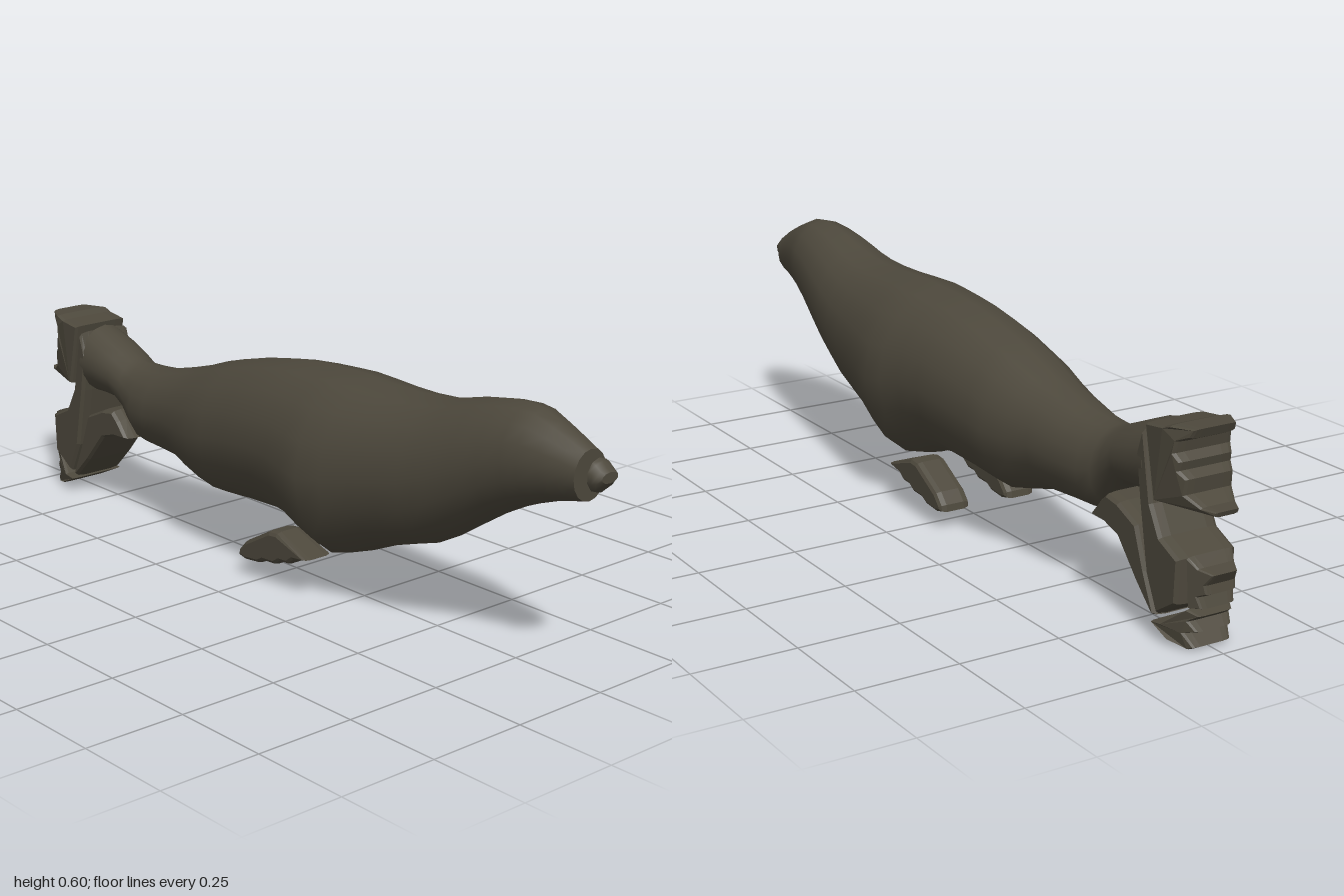
import * as THREE from 'three';

const skin = new THREE.MeshStandardMaterial({ color: 0x4d483c });
skin.name = 'dark olive skin';

// Loft of oval rings, each [xTop, yTop, xBottom, yBottom, halfWidth], ordered along +x, with end caps
function loft(name, rings, sides) {
  const pos = [], index = [];
  const addRing = ([xt, yt, xb, yb, w]) => {
    for (let j = 0; j < sides; j++) {
      const a = (j / sides) * Math.PI * 2, c = Math.cos(a);
      pos.push((xt + xb) / 2 + c * (xt - xb) / 2, (yt + yb) / 2 + c * (yt - yb) / 2, w * Math.sin(a));
    }
  };
  rings.forEach(addRing);
  for (let i = 0; i < rings.length - 1; i++) {
    for (let j = 0; j < sides; j++) {
      const k = (j + 1) % sides;
      const a = i * sides + j, c = i * sides + k, b = a + sides, d = c + sides;
      index.push(a, c, b, b, c, d);
    }
  }
  // Caps have their own vertices so the rims stay sharp
  [rings[0], rings[rings.length - 1]].forEach((ring, end) => {
    const start = pos.length / 3;
    addRing(ring);
    for (let j = 1; j < sides - 1; j++) {
      if (end) index.push(start, start + j, start + j + 1);
      else index.push(start, start + j + 1, start + j);
    }
  });
  const g = new THREE.BufferGeometry();
  g.setAttribute('position', new THREE.Float32BufferAttribute(pos, 3));
  g.setIndex(index);
  g.computeVertexNormals();
  const mesh = new THREE.Mesh(g, skin);
  mesh.name = name;
  return mesh;
}

// Bevelled side outline; width(x) can thin it towards the tip
function slab(name, points, half, { bevel = 0.008, round = 0.03, z = 0, width = null } = {}) {
  const shape = new THREE.Shape(points.map(([x, y]) => new THREE.Vector2(x, y)));
  const g = new THREE.ExtrudeGeometry(shape, {
    depth: 2 * (half - round), bevelEnabled: true, bevelSegments: 2,
    bevelSize: bevel, bevelOffset: -bevel, bevelThickness: round,
  });
  g.translate(0, 0, -(half - round));
  const p = g.attributes.position;
  for (let i = 0; i < p.count; i++) {
    p.setZ(i, p.getZ(i) * (width ? width(p.getX(i)) : 1) + z);
  }
  g.computeVertexNormals();
  const mesh = new THREE.Mesh(g, skin);
  mesh.name = name;
  return mesh;
}

// Tail fins narrow towards their ragged rear edge
const finWidth = x => THREE.MathUtils.clamp(0.35 + (x + 1) * 6.2, 0.35, 1);

export function createModel() {
  const model = new THREE.Group();
  model.name = 'seal';

  // Body from tail root to muzzle: [x, top, bottom, halfWidth]
  const sections = [
    [-0.57, 0.405, 0.197, 0.09], [-0.5, 0.41, 0.195, 0.1], [-0.4, 0.435, 0.188, 0.11],
    [-0.33, 0.455, 0.165, 0.127], [-0.26, 0.48, 0.146, 0.143], [-0.2, 0.497, 0.148, 0.148],
    [-0.1, 0.522, 0.156, 0.158], [0, 0.54, 0.16, 0.165], [0.08, 0.548, 0.148, 0.17],
    [0.15, 0.552, 0.12, 0.182], [0.21, 0.555, 0.1, 0.188], [0.28, 0.553, 0.125, 0.178],
    [0.36, 0.55, 0.16, 0.162], [0.43, 0.55, 0.183, 0.152], [0.5, 0.555, 0.205, 0.142],
    [0.57, 0.567, 0.242, 0.131], [0.64, 0.585, 0.288, 0.12], [0.71, 0.597, 0.333, 0.107],
    [0.77, 0.601, 0.365, 0.096], [0.81, 0.597, 0.382, 0.086], [0.86, 0.577, 0.4, 0.073],
    [0.91, 0.555, 0.413, 0.059], [0.945, 0.538, 0.421, 0.052],
  ].map(([x, t, b, w]) => [x, t, x, b, w]);
  const tailRoot = [
    [-0.79, 0.472, -0.81, 0.29, 0.08], [-0.74, 0.452, -0.75, 0.293, 0.082],
    [-0.68, 0.427, -0.68, 0.29, 0.077], [-0.64, 0.411, -0.63, 0.255, 0.073],
    [-0.61, 0.405, -0.6, 0.213, 0.077],
  ];
  model.add(loft('body', [...tailRoot, ...sections], 16));

  // Nose tip, set just ahead of the muzzle
  model.add(loft('nose', [
    [0.968, 0.525, 0.968, 0.447, 0.037], [0.978, 0.52, 0.978, 0.45, 0.037],
    [0.99, 0.507, 0.99, 0.462, 0.034], [1, 0.5, 1, 0.475, 0.026],
  ], 10));

  // Upper tail fin with a ragged edge
  model.add(slab('upperTailFin', [
    [-0.81, 0.475], [-0.87, 0.483], [-0.895, 0.492], [-0.95, 0.492], [-0.94, 0.47],
    [-0.91, 0.457], [-0.905, 0.432], [-0.92, 0.415], [-0.915, 0.395], [-0.935, 0.38],
    [-0.93, 0.345], [-0.965, 0.325], [-1, 0.322], [-0.995, 0.31], [-0.845, 0.31],
  ], 0.08, { bevel: 0.004, width: finWidth }));

  // Slanted shank joining the upper and lower tail
  model.add(slab('tailShank', [
    [-0.8, 0.46], [-0.775, 0.4], [-0.79, 0.3], [-0.82, 0.14], [-0.86, 0.055],
    [-0.93, 0.1], [-0.935, 0.205], [-0.87, 0.235], [-0.835, 0.3],
  ], 0.078));

  // Lower flipper running down from the rump
  model.add(slab('lowerTailFlipper', [
    [-0.605, 0.205], [-0.64, 0.25], [-0.665, 0.272], [-0.71, 0.265], [-0.78, 0.235],
    [-0.815, 0.14], [-0.855, 0.05], [-0.84, 0.045], [-0.78, 0.105], [-0.71, 0.185],
    [-0.66, 0.2],
  ], 0.075));

  // Lower tail fin with a ragged edge
  model.add(slab('lowerTailFinRear', [
    [-0.94, 0.21], [-0.965, 0.19], [-0.998, 0.182], [-0.98, 0.155], [-0.985, 0.135],
    [-0.965, 0.125], [-0.975, 0.1], [-0.945, 0.095],
  ], 0.085, { bevel: 0.003, width: finWidth }));
  model.add(slab('lowerTailFinBottom', [
    [-0.94, 0.092], [-0.97, 0.082], [-0.945, 0.065], [-0.965, 0.045], [-0.935, 0.035],
    [-0.96, 0.008], [-0.945, 0], [-0.9, 0.012], [-0.845, 0.038], [-0.88, 0.045],
  ], 0.08, { bevel: 0.003, width: finWidth }));

  // Pair of front flippers with a stepped lower edge
  for (const side of [1, -1]) {
    model.add(slab(side > 0 ? 'frontFlipperNear' : 'frontFlipperFar', [
      [0.19, 0.103], [0.08, 0.145], [0.05, 0.142], [-0.04, 0.092], [-0.065, 0.065],
      [-0.068, 0.048], [-0.04, 0.042], [0.01, 0.047], [0.03, 0.058], [0.07, 0.06],
      [0.09, 0.073], [0.12, 0.075], [0.14, 0.09],
    ], 0.042, { bevel: 0.01, round: 0.018, z: side * 0.094 }));
  }
  return model;
}
